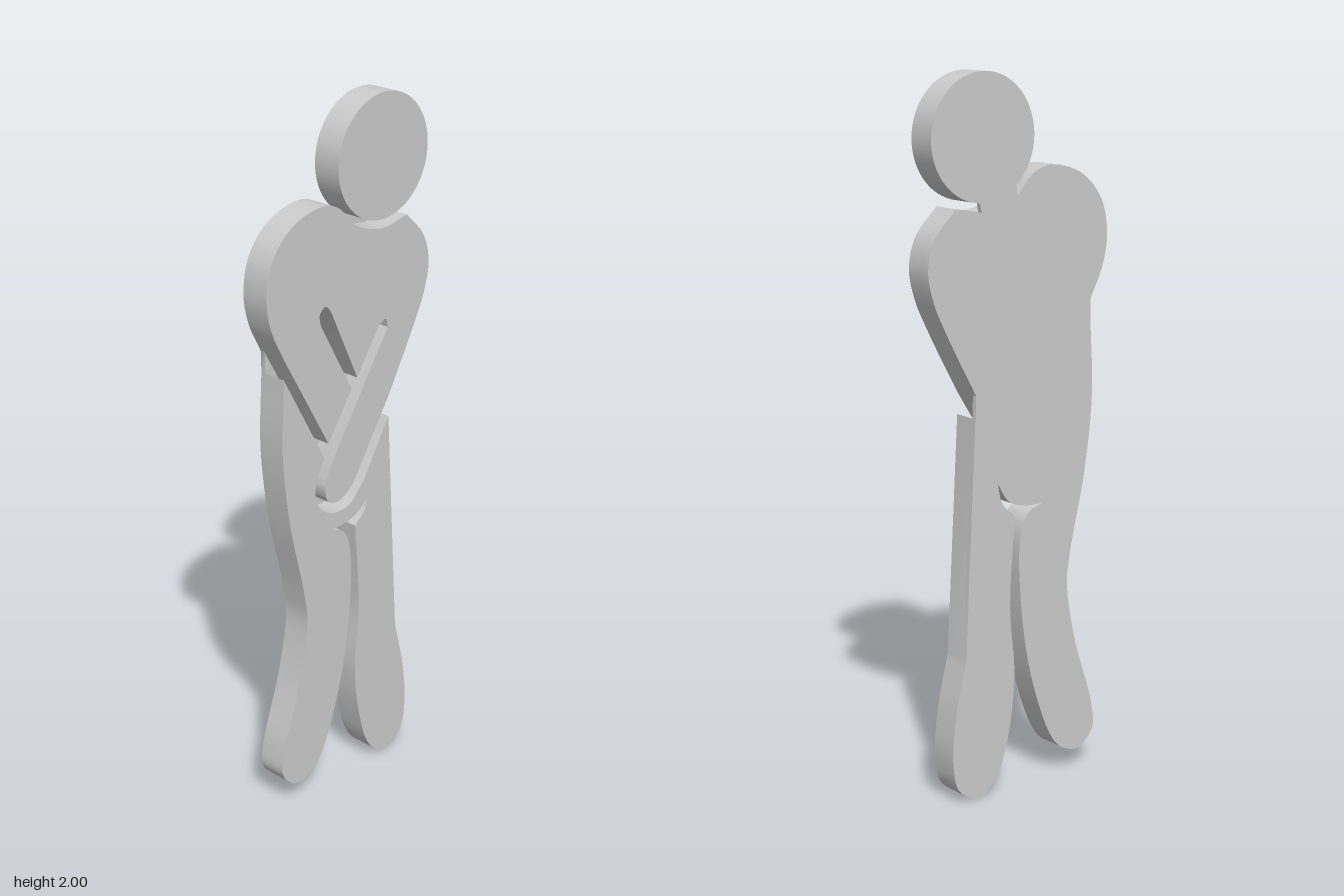
import * as THREE from 'three';
import { toCreasedNormals } from 'three/addons/utils/BufferGeometryUtils.js';

const BACK = -0.042, STEP = -0.028, FRONT = 0.042;
const material = new THREE.MeshStandardMaterial({ color: 0xcccccc });

// Each section is a smooth curve; corners stay sharp where sections meet.
function outline(sections) {
  const points = [];
  for (const section of sections) {
    let run = section.map(([x, y]) => new THREE.Vector3(x, y, 0));
    if (run.length > 2) run = new THREE.CatmullRomCurve3(run).getPoints((run.length - 1) * 8);
    for (const p of run) {
      const last = points[points.length - 1];
      if (!last || Math.hypot(last.x - p.x, last.y - p.y) > 1e-4) points.push(new THREE.Vector2(p.x, p.y));
    }
  }
  if (points[0].distanceTo(points[points.length - 1]) < 1e-4) points.pop();
  return new THREE.Shape(points);
}

function slab(name, shape, z0, z1) {
  const geometry = new THREE.ExtrudeGeometry(shape, { depth: z1 - z0, bevelEnabled: false, curveSegments: 48 });
  geometry.translate(0, 0, z0);
  const mesh = new THREE.Mesh(toCreasedNormals(geometry, 0.5), material);
  mesh.name = name;
  return mesh;
}

// Shoulders and outer arms
const rightShoulder = [[0.008, 1.672], [-0.05, 1.73], [-0.114, 1.746], [-0.22, 1.714], [-0.288, 1.64],
  [-0.309, 1.545], [-0.294, 1.46], [-0.251, 1.37]];
const leftShoulder = [[0.15, 1.148], [0.246, 1.323], [0.288, 1.413], [0.305, 1.497], [0.283, 1.577], [0.214, 1.651]];
const neckline = [[0.214, 1.651], [0.124, 1.635], [0.05, 1.651], [0.008, 1.672]];

// Slots that separate the crossed arms from the chest
const rightForearm = [[-0.251, 1.37], [-0.087, 1.079]];
const rightHandEnd = [[-0.087, 1.079], [0.003, 1.212]];
const upperSlot = [[-0.114, 1.423], [-0.118, 1.455], [-0.098, 1.473], [-0.077, 1.455]];
const crossing = [[0.024, 1.238], [0.108, 1.365]];
const lowerSlotTip = [[0.108, 1.365], [0.135, 1.375], [0.143, 1.35]];
const leftHand = [[-0.082, 1.005], [-0.1, 0.947], [-0.087, 0.905], [-0.045, 0.894], [0.008, 0.926]];

// Hips, hollow around the hand, and legs
const hipTop = [[-0.251, 1.312], [-0.103, 1.042]];
const handHollow = [[-0.103, 1.042], [-0.135, 0.974], [-0.13, 0.91], [-0.082, 0.868], [-0.008, 0.868], [0.05, 0.92]];
const leftHip = [[0.15, 1.085], [0.188, 0.413]];
const leftFoot = [[0.188, 0.413], [0.225, 0.254], [0.235, 0.122], [0.214, 0.037], [0.146, 0], [0.082, 0.048],
  [0.04, 0.164], [0.019, 0.333], [0.034, 0.534], [0.018, 0.794]];
const leftInnerThigh = [[0.018, 0.794], [0.061, 0.836], [0.077, 0.894]];
const crotch = [[0.077, 0.894], [0.04, 0.841], [-0.008, 0.82], [-0.077, 0.815]];
const rightLeg = [[-0.077, 0.815], [-0.029, 0.794], [-0.003, 0.735], [-0.003, 0.556], [-0.04, 0.323],
  [-0.114, 0.122], [-0.156, 0.074], [-0.22, 0.058], [-0.272, 0.106], [-0.267, 0.185], [-0.204, 0.386],
  [-0.172, 0.561], [-0.182, 0.651], [-0.235, 0.889], [-0.259, 1.1], [-0.251, 1.312]];
const legs = [leftFoot, leftInnerThigh, crotch, rightLeg];

// Neck tab, ending on the rim of the head
const neck = [[0.13, 1.635], [0.135, 1.661]];
const neckTop = [[0.135, 1.661], [0.06, 1.672], [0.013, 1.698]];

export function createModel() {
  const group = new THREE.Group();

  // Head disc
  const disc = new THREE.Shape();
  disc.absarc(0.122, 1.83, 0.17, 0, Math.PI * 2);
  group.add(slab('head', disc, BACK, FRONT));

  // Thin back plate joining all the raised parts
  group.add(slab('backPlate', outline([
    rightShoulder, [...rightLeg].reverse(), [...crotch].reverse(), [...leftInnerThigh].reverse(),
    [...leftFoot].reverse(), [[0.188, 0.413], [0.15, 1.148]], leftShoulder,
    neckline.slice(0, 2), neck, neckTop,
  ]), BACK, STEP));

  // Raised chest with crossed arms
  group.add(slab('chestAndArms', outline([
    rightShoulder, rightForearm, rightHandEnd, upperSlot, crossing, lowerSlotTip,
    leftHand, leftShoulder, neckline,
  ]), STEP, FRONT));

  // Raised hips and legs
  group.add(slab('hipsAndLegs', outline([hipTop, handHollow, leftHip, ...legs]), STEP, FRONT));

  return group;
}
